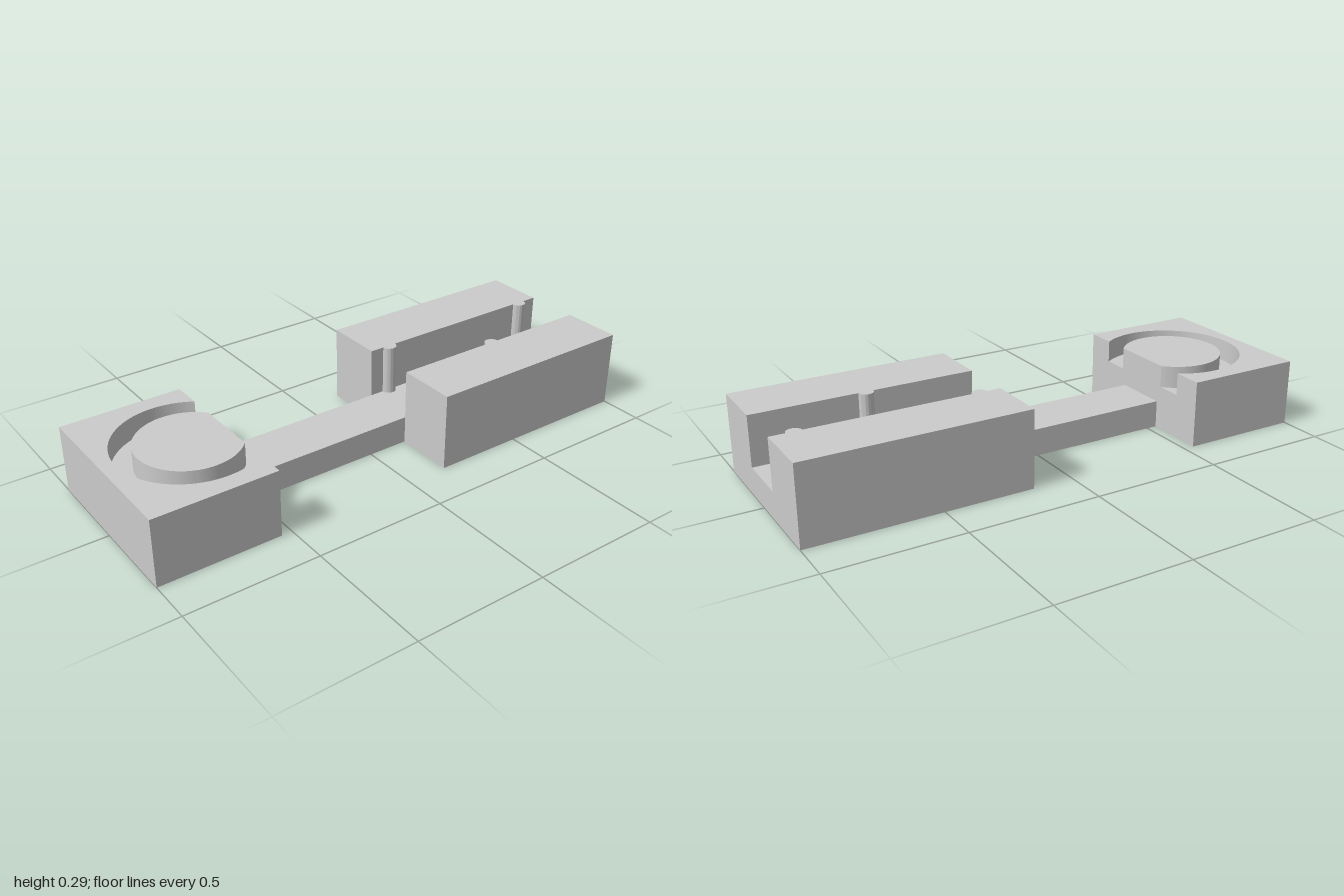
import * as THREE from 'three';
import { toCreasedNormals } from 'three/addons/utils/BufferGeometryUtils.js';

const material = new THREE.MeshStandardMaterial({ color: 0xcccccc });

// Main dimensions
const HALF_DEPTH = 0.335, HALF_CHANNEL = 0.105, BAR_TOP = 0.105;
const PAD = { x0: -1, x1: -0.54, floor: 0.17, top: 0.255 };
const CRADLE = { x0: 0.157, x1: 1, top: 0.295 };
const RING = { x: -0.685, outer: 0.265, inner: 0.19 };
const RIB_RADIUS = 0.028;

function add(group, name, geometry) {
  const mesh = new THREE.Mesh(geometry, material);
  mesh.name = name;
  group.add(mesh);
}

// Box standing on the ground, centred on z = 0
function slab(x0, x1, height, halfDepth) {
  return new THREE.BoxGeometry(x1 - x0, height, halfDepth * 2)
    .translate((x0 + x1) / 2, height / 2, 0);
}

// Plan shape (x, -z) raised from y0 to y1
function raise(shape, y0, y1) {
  const geometry = new THREE.ExtrudeGeometry(shape, { depth: y1 - y0, bevelEnabled: false, curveSegments: 48 });
  geometry.rotateX(-Math.PI / 2).translate(0, y0, 0);
  return toCreasedNormals(geometry, 0.5);
}

// Channel wall with half-round ribs on its inner face; side is +1 for back, -1 for front
function ribbedWall(side, ribs) {
  const shape = new THREE.Shape();
  const inner = side * HALF_CHANNEL, outer = side * HALF_DEPTH;
  shape.moveTo(CRADLE.x0, outer);
  shape.lineTo(CRADLE.x0, inner);
  for (const x of ribs) {
    shape.lineTo(x - RIB_RADIUS, inner);
    shape.absarc(x, inner, RIB_RADIUS, Math.PI, side > 0 ? Math.PI * 2 : 0, side < 0);
  }
  shape.lineTo(CRADLE.x1, inner);
  shape.lineTo(CRADLE.x1, outer);
  shape.closePath();
  return raise(shape, BAR_TOP, CRADLE.top);
}

export function createModel() {
  const group = new THREE.Group();
  group.name = 'barHolder';

  // Pad with a ring groove that breaks out through its inner end
  const cut = PAD.x1 - RING.x;
  const outerAngle = Math.acos(cut / RING.outer);
  const innerAngle = Math.acos(cut / RING.inner);

  const rim = new THREE.Shape();
  rim.moveTo(PAD.x1, HALF_DEPTH);
  rim.lineTo(PAD.x0, HALF_DEPTH);
  rim.lineTo(PAD.x0, -HALF_DEPTH);
  rim.lineTo(PAD.x1, -HALF_DEPTH);
  rim.absarc(RING.x, 0, RING.outer, Math.PI * 2 - outerAngle, outerAngle, true);
  rim.closePath();

  const island = new THREE.Shape();
  island.absarc(RING.x, 0, RING.inner, innerAngle, Math.PI * 2 - innerAngle, false);
  island.closePath();

  add(group, 'padBase', slab(PAD.x0, PAD.x1, PAD.floor, HALF_DEPTH));
  add(group, 'padRim', raise(rim, PAD.floor, PAD.top));
  add(group, 'padIsland', raise(island, PAD.floor, PAD.top));

  // Connecting bar
  add(group, 'bar', slab(PAD.x1, CRADLE.x0, BAR_TOP, HALF_CHANNEL));

  // Channelled block with staggered gripping ribs
  add(group, 'cradleBase', slab(CRADLE.x0, CRADLE.x1, BAR_TOP, HALF_DEPTH));
  add(group, 'cradleBackWall', ribbedWall(1, [0.24, 0.913]));
  add(group, 'cradleFrontWall', ribbedWall(-1, [0.576]));

  return group;
}
